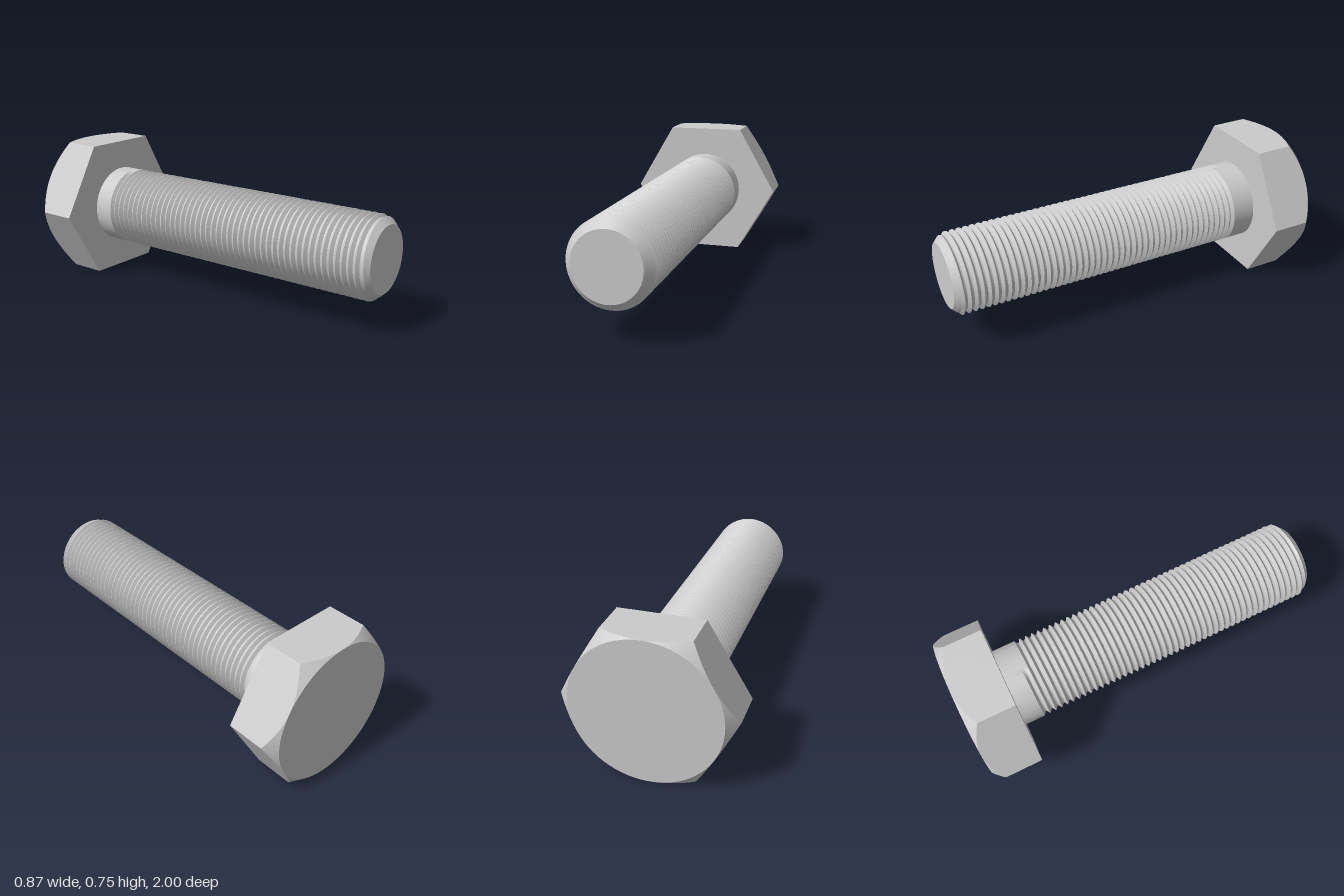
import * as THREE from 'three';
import { toCreasedNormals } from 'three/addons/utils/BufferGeometryUtils.js';

const TAU = Math.PI * 2;
const AXIS_Y = 0.375; // height of the bolt axis
const FLAT = 0.375;   // half the width across the head's flats
const R = 0.216;      // shank and thread crest radius
const TIP = 0.173;    // radius of the flat tip
const HEAD_Z = -0.74, THREAD_Z = -0.64;
const PITCH = 0.035, DEPTH = 0.018;

// Skin a stack of rings around z; point(row, turn) returns [radius, z], turn runs 0..1
function skin(rows, segments, startAngle, point) {
  const positions = [], index = [];
  for (let j = 0; j < rows; j++) {
    for (let i = 0; i <= segments; i++) {
      const turn = i / segments, a = startAngle + turn * TAU;
      const [r, z] = point(j, turn);
      positions.push(r * Math.cos(a), r * Math.sin(a), z);
    }
  }
  const w = segments + 1;
  for (let j = 0; j < rows - 1; j++) {
    for (let i = 0; i < segments; i++) {
      const a = j * w + i, b = a + 1, c = b + w, d = a + w;
      index.push(a, b, c, a, c, d);
    }
  }
  const g = new THREE.BufferGeometry();
  g.setAttribute('position', new THREE.Float32BufferAttribute(positions, 3));
  g.setIndex(index);
  return toCreasedNormals(g, 0.4);
}

// Hexagonal head, its back corners cut by a cone
function headGeometry() {
  return skin(5, 72, 0, (j, turn) => {
    const hex = FLAT / Math.cos(((turn * 6) % 1 - 0.5) * Math.PI / 3);
    return [
      [0, -1],
      [FLAT, -1],
      [hex, -1 + (hex - FLAT)],
      [hex, HEAD_Z],
      [0, HEAD_Z],
    ][j];
  });
}

// Plain shank running into a right-handed helical thread and a chamfered tip
function shaftGeometry() {
  const profile = [[0, 0], [0.38, 1], [0.58, 1], [0.92, 0]]; // [part of pitch, groove depth]
  const n = profile.length;
  const turns = Math.ceil((1 - THREAD_Z) / PITCH) + 1;
  const rows = turns * n + 2;
  return skin(rows, 64, Math.PI / 2, (j, turn) => {
    if (j === 0) return [R, HEAD_Z];
    if (j === rows - 1) return [0, 1];
    const k = Math.floor((j - 1) / n);
    const [part, groove] = profile[(j - 1) % n];
    const z = Math.min(1, THREAD_Z + (k + part + turn) * PITCH);
    const runIn = Math.min(1, (k + turn) * 16); // groove starts at full radius
    return [Math.min(R - DEPTH * groove * runIn, TIP + 1 - z), z];
  });
}

export function createModel() {
  const model = new THREE.Group();
  model.name = 'hexBolt';
  const material = new THREE.MeshStandardMaterial({ color: 0xcccccc });
  const parts = { hexHead: headGeometry(), threadedShaft: shaftGeometry() };
  for (const [name, geometry] of Object.entries(parts)) {
    const mesh = new THREE.Mesh(geometry, material);
    mesh.name = name;
    mesh.position.y = AXIS_Y;
    model.add(mesh);
  }
  return model;
}
